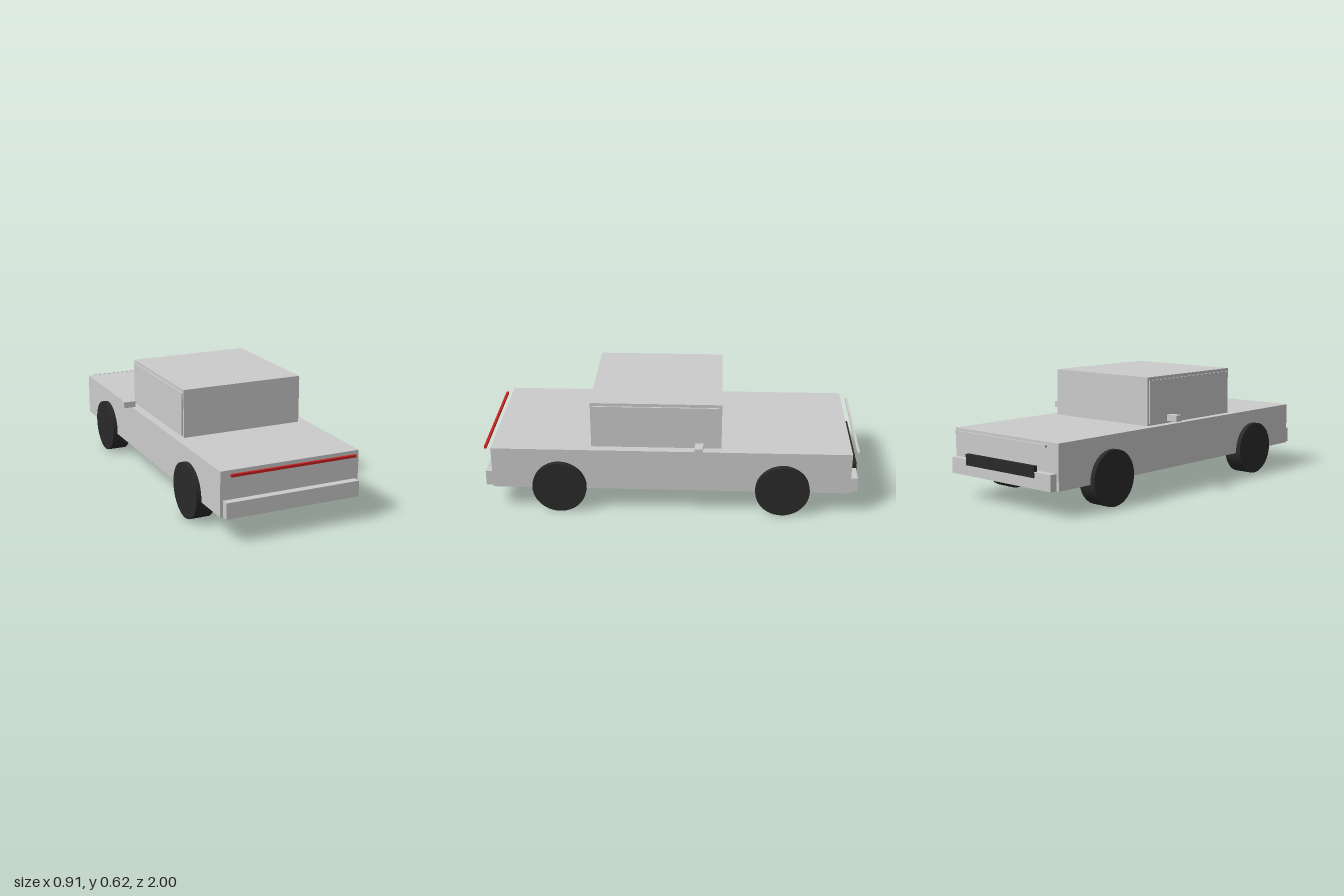
import * as THREE from 'three';

export function createModel() {
  const car = new THREE.Group();
  car.name = 'car';

  const paint = new THREE.MeshStandardMaterial({ color: 0xcccccc });
  const red = new THREE.MeshStandardMaterial({ color: 0xcc2222 });
  const black = new THREE.MeshStandardMaterial({ color: 0x2a2a2a });

  // Box given by its [min, max] range on each axis
  function box(name, [x0, x1], [y0, y1], [z0, z1], material = paint) {
    const mesh = new THREE.Mesh(new THREE.BoxGeometry(x1 - x0, y1 - y0, z1 - z0), material);
    mesh.position.set((x0 + x1) / 2, (y0 + y1) / 2, (z0 + z1) / 2);
    mesh.name = name;
    car.add(mesh);
  }

  // Body and cabin
  box('body', [-0.38, 0.38], [0.13, 0.362], [-0.958, 0.958]);
  box('cabin', [-0.334, 0.334], [0.362, 0.617], [-0.268, 0.425]);

  // Bumpers
  box('frontBumper', [-0.365, 0.365], [0.131, 0.214], [0.958, 0.997]);
  box('rearBumper', [-0.365, 0.365], [0.131, 0.214], [-0.997, -0.958]);

  // Light bars standing just off the body, and the dark rear plate
  box('frontLightBar', [-0.342, 0.342], [0.341, 0.354], [0.987, 1.0], red);
  box('rearLightBar', [-0.334, 0.334], [0.342, 0.355], [-1.0, -0.987]);
  box('rearPlate', [-0.253, 0.253], [0.185, 0.243], [-1.0, -0.978], black);

  // Side windows, mirrors and wheels on both sides
  const wheelGeometry = new THREE.CylinderGeometry(0.145, 0.145, 0.103, 48).rotateZ(Math.PI / 2);
  for (const [side, s] of [['left', 1], ['right', -1]]) {
    const span = (a, b) => (s > 0 ? [a, b] : [-b, -a]);
    box(side + 'Window', span(0.33, 0.342), [0.373, 0.6], [-0.256, 0.413]);
    box(side + 'Mirror', span(0.386, 0.453), [0.385, 0.418], [-0.172, -0.128]);
    for (const [end, z] of [['Front', 0.597], ['Rear', -0.597]]) {
      const wheel = new THREE.Mesh(wheelGeometry, black);
      wheel.name = side + end + 'Wheel';
      wheel.position.set(s * 0.355, 0.145, z);
      car.add(wheel);
    }
  }
  return car;
}
